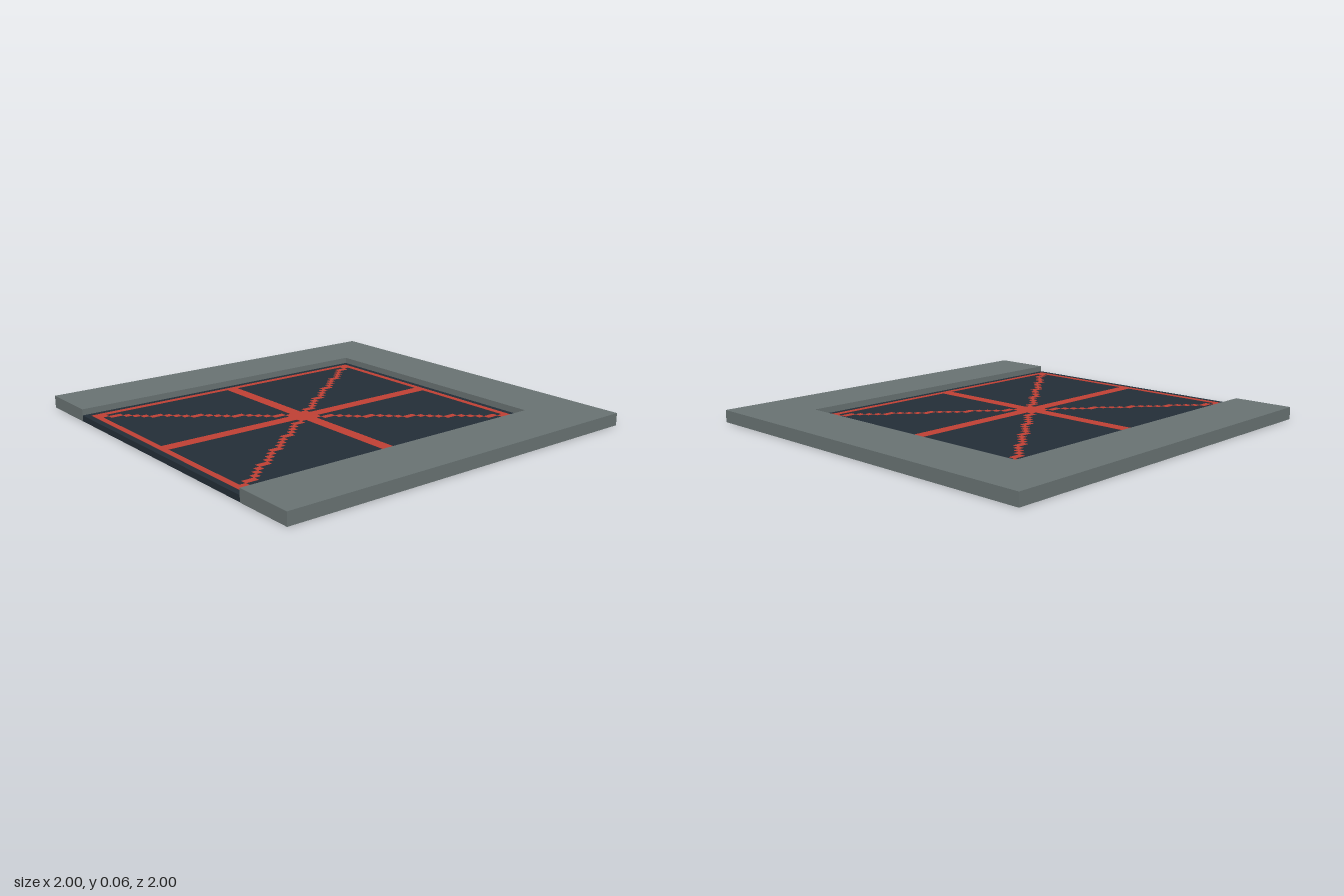
import * as THREE from 'three';
import { mergeGeometries } from 'three/addons/utils/BufferGeometryUtils.js';

const U = 1 / 32;        // grid cell of the inlay pattern
const CZ = 5 * U;        // z of the panel's middle

// Box given by its limits
function box(x0, x1, y0, y1, z0, z1) {
  return new THREE.BoxGeometry(x1 - x0, y1 - y0, z1 - z0)
    .translate((x0 + x1) / 2, (y0 + y1) / 2, (z0 + z1) / 2);
}

export function createModel() {
  const model = new THREE.Group();
  const material = (name, color) => new THREE.MeshStandardMaterial({ name, color });
  const grey = material('stone grey', 0x687272);
  const dark = material('dark slate', 0x232e37);
  const red = material('signal red', 0xbe4034);

  function add(name, geometry, mat) {
    const mesh = new THREE.Mesh(geometry, mat);
    mesh.name = name;
    model.add(mesh);
  }

  // U-shaped frame, open to the front
  const w = 22 * U;
  const outline = new THREE.Shape([
    [-1, -1], [-w, -1], [-w, w], [w, w], [w, -1], [1, -1], [1, 1], [-1, 1],
  ].map(([x, y]) => new THREE.Vector2(x, y)));
  const frame = new THREE.ExtrudeGeometry(outline, { depth: 2 * U, bevelEnabled: false });
  add('frame', frame.rotateX(-Math.PI / 2), grey);

  // Sunken panel inside the frame
  add('panel', box(-w, w, 0.001, U, -w, 1), dark);

  // Red inlay, showing on both faces of the panel; limits in cells from its middle
  const bar = (x0, x1, z0, z1, grow = 0) => box(
    x0 * U - grow, x1 * U + grow, 0, U + 0.001, CZ + z0 * U - grow, CZ + z1 * U + grow);
  add('inlayBorder', mergeGeometries([
    bar(-21, 21, -26, -25), bar(-21, 21, 25, 26),
    bar(-21, -20, -25, 25), bar(20, 21, -25, 25),
  ]), red);
  add('inlayCross', mergeGeometries([
    bar(-1, 1, -25, 25), bar(-20, -1, -1, 1), bar(1, 20, -1, 1),
  ]), red);

  // Stepped diagonals, mirrored into the four quarters
  const steps = [];
  for (const sx of [-1, 1]) for (const sz of [-1, 1]) {
    for (let j = 1; j < 25; j++) {
      const i = Math.round(j * 0.8);
      const x = sx > 0 ? i : -i - 1, z = sz > 0 ? j : -j - 1;
      steps.push(bar(x, x + 1, z, z + 1, 0.001));
    }
  }
  add('inlayDiagonals', mergeGeometries(steps), red);

  return model;
}
